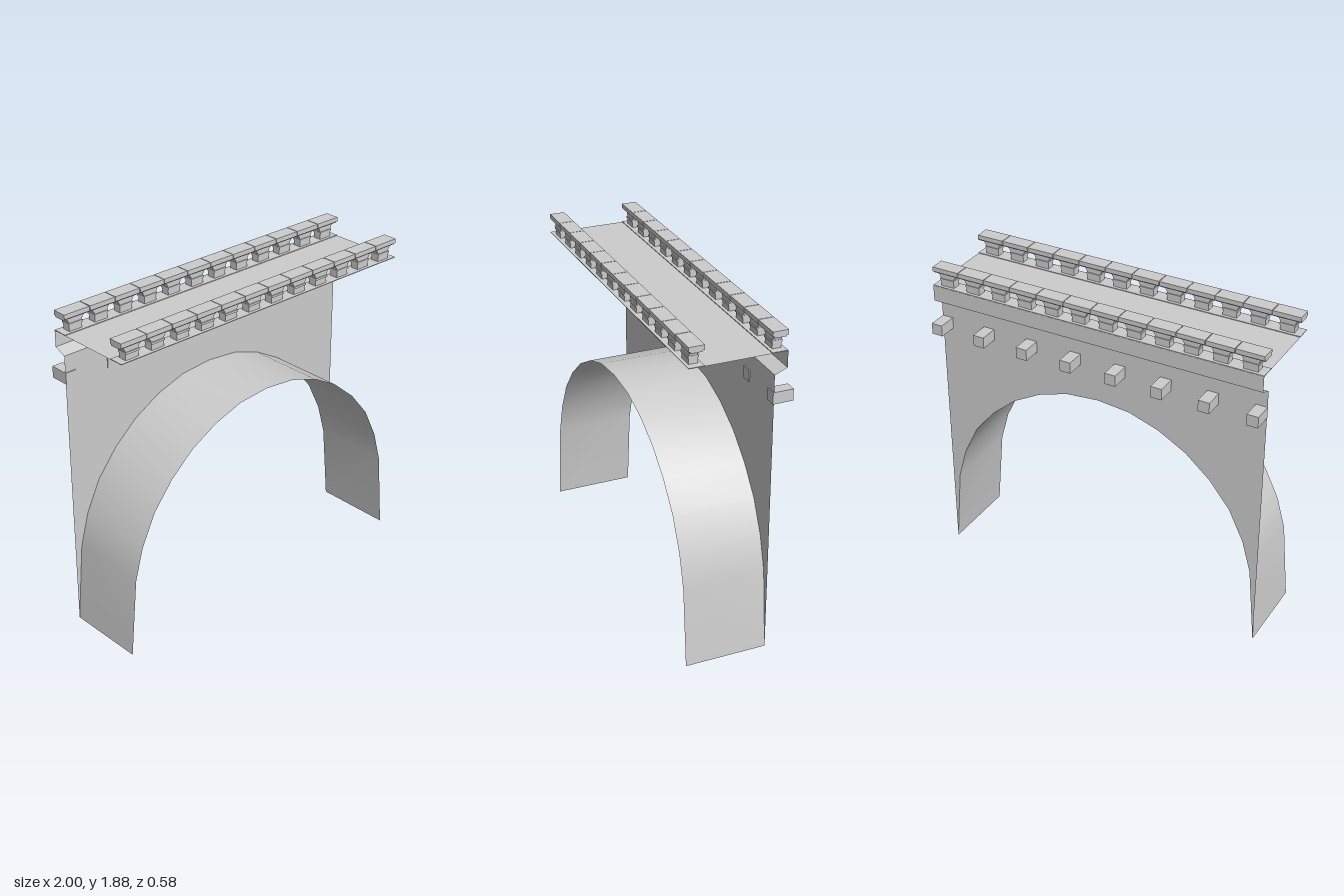
import * as THREE from 'three';

const BACK = -0.18, FRONT = 0.29, DECK_Y = 1.77, MODULES = 12;

export function createModel() {
  const stone = new THREE.MeshStandardMaterial({ color: 0xcccccc, side: THREE.DoubleSide });
  stone.name = 'grey stone';
  const bridge = new THREE.Group();
  bridge.name = 'archBridge';

  const add = (parent, name, geometry, x = 0, y = 0, z = 0) => {
    const mesh = new THREE.Mesh(geometry, stone);
    mesh.name = name;
    mesh.position.set(x, y, z);
    parent.add(mesh);
    return mesh;
  };

  // Arch curve, left half mirrored to the right
  const half = [[-1, 0], [-0.957, 0.467], [-0.904, 0.656], [-0.814, 0.84], [-0.69, 0.992],
    [-0.543, 1.118], [-0.377, 1.21], [-0.196, 1.27]];
  const arch = [...half, [0, 1.288], ...half.map(([x, y]) => [-x, y]).reverse()];

  // Thin back wall above the arch
  const wall = new THREE.Shape(arch.map(([x, y]) => new THREE.Vector2(x, y)));
  wall.lineTo(1, 1.648);
  wall.lineTo(-1, 1.648);
  add(bridge, 'backWall', new THREE.ShapeGeometry(wall), 0, 0, BACK);

  // Smooth vault under the arch
  const vault = new THREE.PlaneGeometry(1, 1, arch.length - 1, 1);
  const p = vault.attributes.position;
  for (let i = 0; i < p.count; i++) {
    const [x, y] = arch[i % arch.length];
    p.setXYZ(i, x, y, i < arch.length ? BACK : FRONT);
  }
  vault.computeVertexNormals();
  add(bridge, 'vault', vault);

  // Deck, cornice face and its sloping underside: flat strips between two (y, z) edges
  const strip = (name, [y0, z0], [y1, z1]) => {
    const g = new THREE.PlaneGeometry(2, 1);
    const q = g.attributes.position;
    for (let i = 0; i < 4; i++) {
      q.setY(i, i < 2 ? y0 : y1);
      q.setZ(i, i < 2 ? z0 : z1);
    }
    g.computeVertexNormals();
    add(bridge, name, g);
  };
  strip('deck', [DECK_Y, -0.25], [DECK_Y, FRONT]);
  strip('corniceFace', [1.677, -0.25], [DECK_Y, -0.25]);
  strip('corniceUnderside', [1.648, BACK], [1.677, -0.25]);

  // Row of corbel blocks on the back wall
  const corbel = new THREE.BoxGeometry(0.066, 0.066, 0.115);
  for (let i = 0; i < 8; i++) {
    add(bridge, 'corbel', corbel, -0.967 + (i * 1.934) / 7, 1.518, -0.2325);
  }

  // Baluster whose sides curve outward into half arches
  const pitch = 2 / MODULES, hw = pitch / 2 - 0.002, foot = 0.041;
  const side = new THREE.Shape();
  side.moveTo(-foot, 0);
  side.lineTo(foot, 0);
  side.lineTo(foot, 0.042);
  side.quadraticCurveTo(foot + 0.002, 0.08, hw, 0.083);
  side.lineTo(hw, 0.088);
  side.lineTo(-hw, 0.088);
  side.lineTo(-hw, 0.083);
  side.quadraticCurveTo(-foot - 0.002, 0.08, -foot, 0.042);
  const baluster = new THREE.ExtrudeGeometry(side, { depth: 0.05, bevelEnabled: false, curveSegments: 6 });
  baluster.translate(0, 0, -0.025);
  const impost = new THREE.BoxGeometry(0.088, 0.012, 0.06);
  const capBase = new THREE.BoxGeometry(hw * 2, 0.01, 0.068);
  const cap = new THREE.BoxGeometry(hw * 2, 0.027, 0.086);
  const plinth = new THREE.BoxGeometry(2, 0.004, 0.086);

  // Two parapets along the deck edges
  for (const [name, z] of [['frontParapet', 0.247], ['backParapet', -0.206]]) {
    const parapet = new THREE.Group();
    parapet.name = name;
    parapet.position.set(0, DECK_Y, z);
    add(parapet, 'plinth', plinth, 0, 0.002, 0);
    for (let i = 0; i < MODULES; i++) {
      const x = -1 + pitch * (i + 0.5);
      add(parapet, 'baluster', baluster, x);
      add(parapet, 'impost', impost, x, 0.043, 0);
      add(parapet, 'capBase', capBase, x, 0.085, 0);
      add(parapet, 'cap', cap, x, 0.1015, 0);
    }
    bridge.add(parapet);
  }
  return bridge;
}
